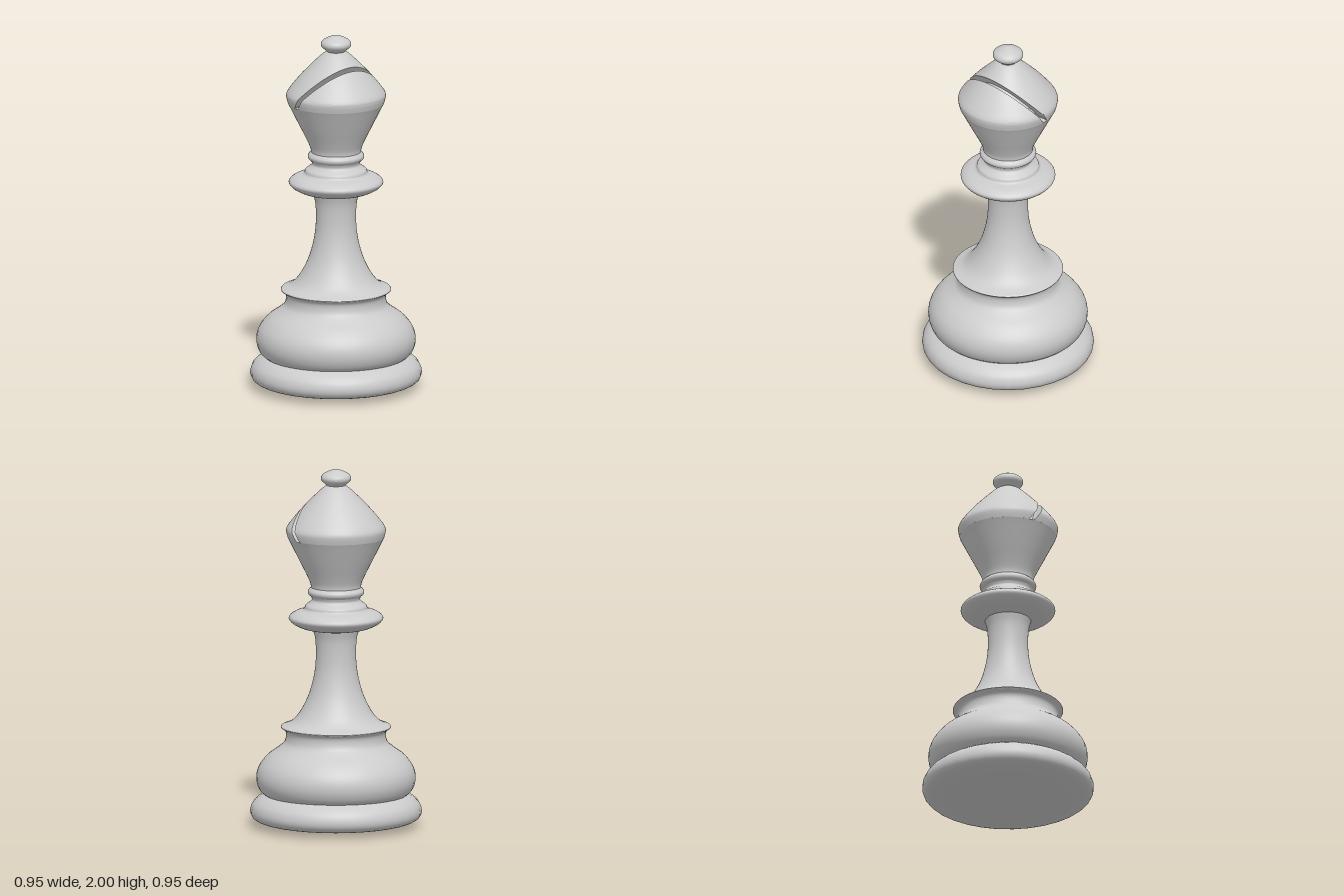
import * as THREE from 'three';
import { toCreasedNormals } from 'three/addons/utils/BufferGeometryUtils.js';

const material = new THREE.MeshStandardMaterial({ color: 0xcccccc });

// Smooth 2D spline through [radius, height] pairs
const spline = (pts) => new THREE.SplineCurve(pts.map(([r, y]) => new THREE.Vector2(r, y)));

// Turned part: profiles run from bottom to top
function turned(name, pts, segments = 48) {
  const profile = spline(pts).getPoints((pts.length - 1) * 4);
  profile.forEach((p) => { p.x = Math.max(p.x, 0); });
  const mesh = new THREE.Mesh(new THREE.LatheGeometry(profile, segments), material);
  mesh.name = name;
  return mesh;
}

// Domed cap of the head with a slanted slot cut across its front
function slottedCap() {
  const profile = spline([
    [0.05, 1.907], [0.075, 1.892], [0.12, 1.85], [0.19, 1.778],
    [0.245, 1.712], [0.271, 1.675], [0.275, 1.652], [0.266, 1.615],
  ]);
  const cols = 160, rows = 14, halfWidth = 0.013, depth = 0.28;
  const centre = new THREE.Vector3(0, 1.645, 0.01);
  const normal = new THREE.Vector3(0, -0.577, 0.817);

  const point = (t, phi) => {
    const p = profile.getPoint(t);
    return new THREE.Vector3(p.x * Math.sin(phi), p.y, p.x * Math.cos(phi));
  };
  const side = (p) => p.clone().sub(centre).dot(normal);

  // Where the profile at this angle crosses one wall of the slot
  const crossing = (phi, offset) => {
    if (side(point(1, phi)) <= offset) return 1;
    let lo = 0, hi = 1;
    for (let k = 0; k < 30; k++) {
      const mid = (lo + hi) / 2;
      if (side(point(mid, phi)) < offset) lo = mid; else hi = mid;
    }
    return lo;
  };

  // Move a slot edge inwards within its own wall plane
  const sink = (p) => {
    const c = centre.clone().addScaledVector(normal, side(p));
    return p.clone().lerp(c, depth);
  };

  const positions = [], index = [];
  const perCol = 2 * rows + 4;
  for (let j = 0; j < cols; j++) {
    const phi = (j / cols) * Math.PI * 2;
    const tA = crossing(phi, -halfWidth), tB = crossing(phi, halfWidth);
    const column = [];
    for (let i = 0; i <= rows; i++) column.push(point((tA * i) / rows, phi));
    const open = tB - tA > 1e-5;
    const a = point(tA, phi), b = point(tB, phi);
    column.push(open ? sink(a) : a, open ? sink(b) : b);
    for (let i = 0; i <= rows; i++) column.push(point(tB + ((1 - tB) * i) / rows, phi));
    column.forEach((p) => positions.push(p.x, p.y, p.z));
  }
  for (let j = 0; j < cols; j++) {
    const s = j * perCol, n = ((j + 1) % cols) * perCol;
    for (let i = 0; i < perCol - 1; i++) {
      index.push(s + i, s + i + 1, n + i + 1, s + i, n + i + 1, n + i);
    }
  }
  const geometry = new THREE.BufferGeometry();
  geometry.setAttribute('position', new THREE.Float32BufferAttribute(positions, 3));
  geometry.setIndex(index);
  const mesh = new THREE.Mesh(toCreasedNormals(geometry, 0.6), material);
  mesh.name = 'slottedCap';
  mesh.rotation.y = 0.045;
  return mesh;
}

export function createModel() {
  const group = new THREE.Group();
  group.name = 'chessPiece';
  group.add(
    // Foot
    turned('underside', [[0, 0], [0.18, 0.008], [0.36, 0.02]], 32),
    turned('baseRing', [
      [0.36, 0.02], [0.42, 0.032], [0.46, 0.052], [0.474, 0.085],
      [0.465, 0.125], [0.44, 0.155], [0.41, 0.175], [0.395, 0.182],
    ], 32),
    turned('bulge', [
      [0.395, 0.182], [0.42, 0.205], [0.438, 0.25], [0.438, 0.3], [0.418, 0.35],
      [0.375, 0.4], [0.32, 0.44], [0.287, 0.47], [0.276, 0.505], [0.28, 0.535], [0.303, 0.553],
    ]),
    // Shaft with its flared lip
    turned('lip', [[0.303, 0.553], [0.305, 0.558], [0.3, 0.564]]),
    turned('stem', [
      [0.3, 0.564], [0.255, 0.582], [0.218, 0.615], [0.182, 0.67], [0.15, 0.74],
      [0.127, 0.82], [0.114, 0.9], [0.111, 0.98], [0.115, 1.05], [0.127, 1.1],
    ]),
    // Collar and neck rings
    turned('collar', [
      [0.127, 1.1], [0.185, 1.112], [0.235, 1.135], [0.26, 1.16],
      [0.255, 1.18], [0.225, 1.2], [0.185, 1.212], [0.174, 1.222],
    ]),
    turned('collarStep', [[0.174, 1.222], [0.168, 1.238], [0.145, 1.255], [0.133, 1.27], [0.138, 1.288]]),
    turned('neckRing', [[0.138, 1.288], [0.152, 1.3], [0.156, 1.315], [0.149, 1.328], [0.138, 1.338]]),
    // Head
    turned('headCup', [
      [0.138, 1.338], [0.143, 1.365], [0.165, 1.415], [0.198, 1.48],
      [0.233, 1.55], [0.254, 1.592], [0.266, 1.615],
    ]),
    slottedCap(),
    turned('finial', [
      [0.05, 1.907], [0.06, 1.917], [0.078, 1.932], [0.084, 1.95],
      [0.074, 1.968], [0.048, 1.984], [0.02, 1.995], [0, 2],
    ]),
  );
  return group;
}
